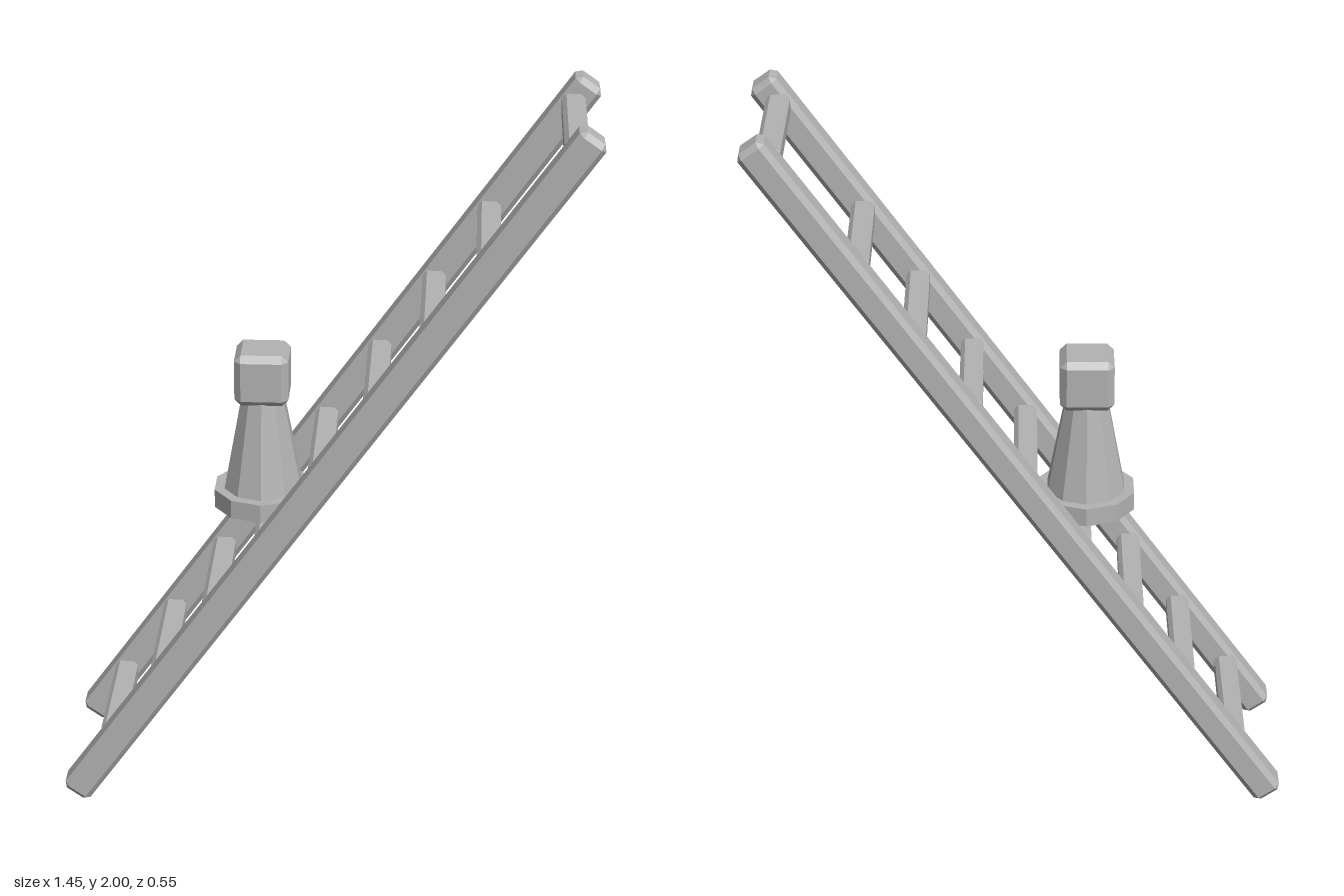
import * as THREE from 'three';
import { ConvexGeometry } from 'three/addons/geometries/ConvexGeometry.js';

// Box with every edge cut by a flat chamfer c
function chamferBox(w, h, d, c) {
  const half = [w / 2, h / 2, d / 2];
  const points = [];
  for (const sx of [-1, 1]) for (const sy of [-1, 1]) for (const sz of [-1, 1]) {
    for (let full = 0; full < 3; full++) {
      const p = half.map((v, i) => (i === full ? v : v - c));
      points.push(new THREE.Vector3(sx * p[0], sy * p[1], sz * p[2]));
    }
  }
  return new ConvexGeometry(points);
}

export function createModel() {
  const model = new THREE.Group();
  model.name = 'ladderWithPawn';
  const grey = new THREE.MeshStandardMaterial({ color: 0xb3b3b3 });
  grey.name = 'grey';
  grey.flatShading = true;

  const add = (parent, name, geometry, x, y, z) => {
    const mesh = new THREE.Mesh(geometry, grey);
    mesh.name = name;
    mesh.position.set(x, y, z);
    parent.add(mesh);
    return mesh;
  };

  // Leaning ladder: two rails at one angle, rungs kept level
  const ladder = new THREE.Group();
  ladder.name = 'ladder';
  model.add(ladder);
  const lean = THREE.MathUtils.degToRad(54.6);
  const railGeometry = chamferBox(2.415, 0.085, 0.088, 0.015);
  for (const side of [-1, 1]) {
    const rail = add(ladder, side > 0 ? 'frontRail' : 'backRail', railGeometry, 0, 1, side * 0.23);
    rail.rotation.z = lean;
  }
  const rungGeometry = chamferBox(0.064, 0.064, 0.4, 0.012);
  const rungHeights = [0.168, 0.374, 0.58, 0.786, 0.994, 1.202, 1.41, 1.616, 1.925];
  rungHeights.forEach((y, i) => {
    add(ladder, `rung${i + 1}`, rungGeometry, (y - 1) / Math.tan(lean) - 0.005, y, 0);
  });

  // Pawn-like figure: disc base, tapered body, square head
  const pawn = new THREE.Group();
  pawn.name = 'pawn';
  pawn.position.set(-0.176, 0, 0);
  model.add(pawn);
  add(pawn, 'base', new THREE.CylinderGeometry(0.14, 0.14, 0.053, 10), 0, 0.8445, 0);
  add(pawn, 'body', new THREE.CylinderGeometry(0.056, 0.113, 0.3, 10), 0, 1.015, 0);
  add(pawn, 'head', chamferBox(0.148, 0.148, 0.148, 0.018), 0, 1.207, 0);

  return model;
}
